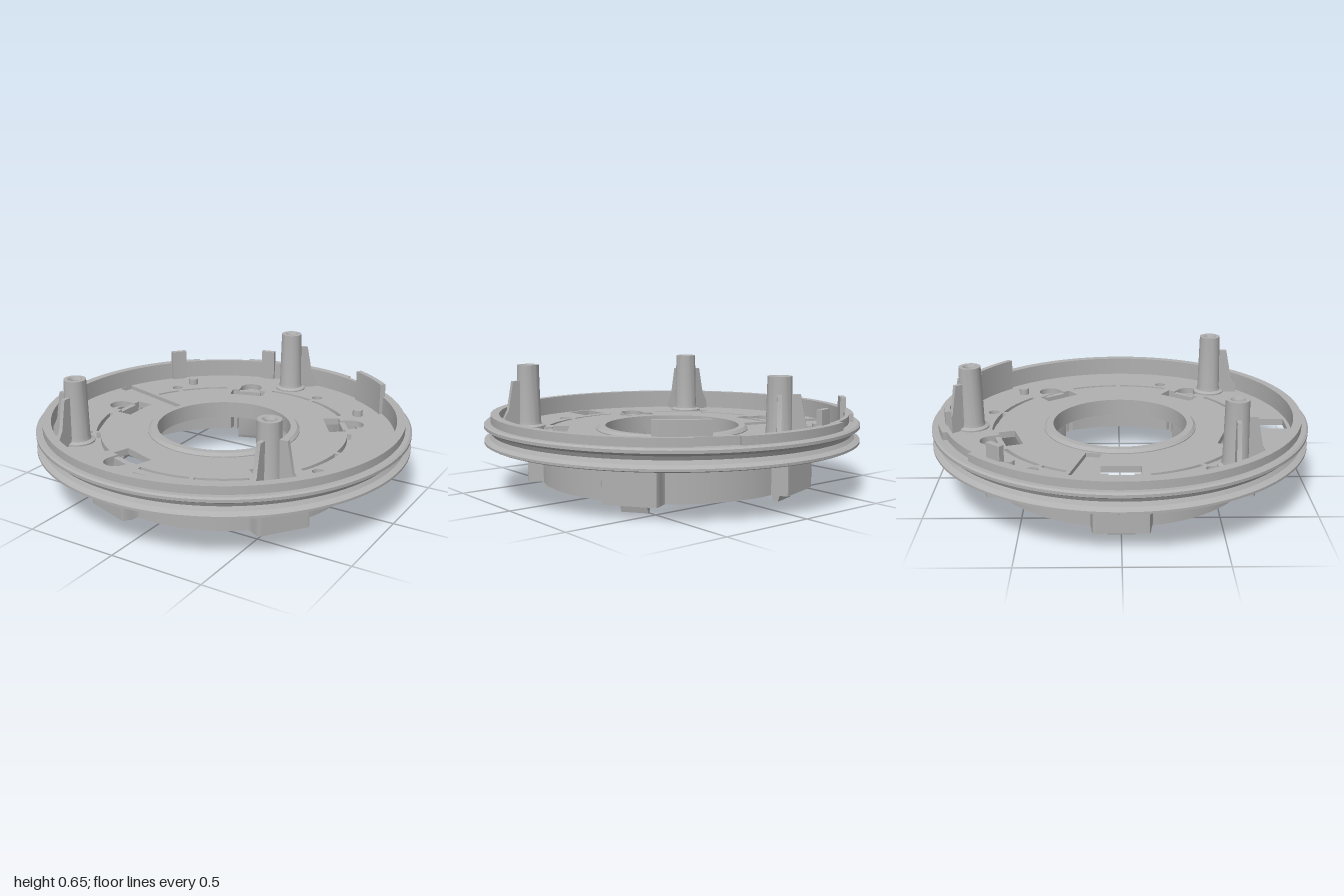
import * as THREE from 'three';
import { toCreasedNormals } from 'three/addons/utils/BufferGeometryUtils.js';

const FLOOR = 0.31, RAD = Math.PI / 180;
const CLIPS = [0, 1, 2, 3, 4].map(k => (180 + 72 * k) * RAD);
const SCREWS = [143.3, 70.8, 20, 286.5, 215.6].map(d => d * RAD);
const grey = new THREE.MeshStandardMaterial({ color: 0xb0b0b0 });
grey.name = 'grey plastic';

export function createModel() {
  const root = new THREE.Group();
  root.name = 'groovedRingHousing';

  const add = (geo, name, parent = root) => {
    const mesh = new THREE.Mesh(toCreasedNormals(geo, 0.5), grey);
    mesh.name = name;
    parent.add(mesh);
    return mesh;
  };
  // horizontal slab: shape y becomes z, top face at "top"
  const slab = (shape, top, bottom, name, parent) => {
    const geo = new THREE.ExtrudeGeometry(shape, { depth: top - bottom, bevelEnabled: false, curveSegments: 48 });
    geo.rotateX(Math.PI / 2).translate(0, top, 0);
    return add(geo, name, parent);
  };
  // solid of revolution from a closed counterclockwise profile
  const turned = (pts, name, parent, segments = 128) =>
    add(new THREE.LatheGeometry([...pts, pts[0]].map(p => new THREE.Vector2(...p)), segments), name, parent);
  // upright profile with x along the radius, centred across its thickness
  const upright = (pts, width, name, parent) => {
    const geo = new THREE.ExtrudeGeometry(poly(pts), { depth: width, bevelEnabled: false });
    return add(geo.translate(0, 0, -width / 2), name, parent);
  };
  const poly = pts => new THREE.Shape(pts.map(p => new THREE.Vector2(...p)));
  const circle = (x, y, r) => new THREE.Shape().absarc(x, y, r, 0, Math.PI * 2, false);
  const arcBand = (r0, r1, a0, a1) => {
    const s = new THREE.Shape();
    s.absarc(0, 0, r1, a0, a1, false);
    s.absarc(0, 0, r0, a1, a0, true);
    s.closePath();
    return s;
  };
  const polar = (r, a) => [r * Math.cos(a), r * Math.sin(a)];
  const turnPts = (pts, a) => pts.map(([x, y]) =>
    [x * Math.cos(a) - y * Math.sin(a), x * Math.sin(a) + y * Math.cos(a)]);

  // outer rim with belt groove
  turned([[0.92, 0.275], [0.955, 0.262], [0.99, 0.26], [1, 0.265], [1, 0.277], [0.972, 0.29], [0.961, 0.31],
    [0.972, 0.33], [1, 0.345], [1, 0.36], [0.99, 0.368], [0.92, 0.368]], 'groovedRim');

  // upper lip, thinner in two stretches at the back
  [[-57, 229, 0.965], [229, 248, 0.942], [248, 290, 0.965], [290, 303, 0.942]].forEach(([a, b, r]) => {
    slab(arcBand(0.92, r, a * RAD, b * RAD), 0.41, 0.36, 'upperLip');
  });
  // raised tabs on the lip
  [[217.5, 223], [253.5, 258.5], [297.5, 314.5]].forEach(([a, b]) => {
    slab(arcBand(0.9, 0.93, a * RAD, b * RAD), 0.485, 0.29, 'rimTab');
  });

  // floor plate with all its openings
  const floor = circle(0, 0, 0.935);
  floor.holes.push(circle(0, 0, 0.37));
  CLIPS.forEach((a, i) => {
    const end = [];
    for (let k = 0; k <= 12; k++) {
      const t = (-90 + k * 15) * RAD;
      end.push([0.705 + 0.062 * Math.cos(t), 0.062 * Math.sin(t)]);
    }
    const opening = [[0.56, -0.1], [0.65, -0.1], [0.65, -0.062], ...end, [0.65, 0.062], [0.65, 0.1], [0.56, 0.1]];
    floor.holes.push(poly(turnPts(opening, a)));
    [[i === 0 ? 23 : 12, 34.5], [36.5, 60]].forEach(([b, c]) =>
      floor.holes.push(arcBand(0.665, 0.688, a + b * RAD, a + c * RAD)));
  });
  SCREWS.forEach(a => floor.holes.push(circle(...polar(0.738, a), 0.03)));
  floor.holes.push(poly([[-0.06, 0.73], [0.085, 0.73], [0.085, 0.9], [-0.06, 0.9]]));
  const channel = [[-0.865, -0.31], [-0.39, -0.175], [-0.405, -0.095], [-0.885, -0.23]];
  floor.holes.push(poly(channel));
  slab(floor, FLOOR, 0.275, 'floorPlate');
  slab(poly(channel), 0.288, 0.272, 'channelFloor');

  // collar round the central opening
  turned([[0.36, 0.24], [0.385, 0.24], [0.4, 0.265], [0.41, 0.29], [0.41, 0.315], [0.395, 0.33], [0.36, 0.33]], 'centreCollar');

  // lower wall bulging outwards at each clip
  const wallPoints = (base, face, halfAngle) => {
    const pts = [];
    for (let i = 0; i < 720; i++) {
      const t = i * 0.5 * RAD;
      const d = Math.min(...CLIPS.map(a => Math.abs(Math.atan2(Math.sin(t - a), Math.cos(t - a)))));
      const mix = 1 - THREE.MathUtils.smoothstep(d, halfAngle - 0.025, halfAngle + 0.025);
      pts.push(polar(base + (face / Math.cos(Math.min(d, 0.25)) - base) * mix, t));
    }
    return pts;
  };
  const wall = poly(wallPoints(0.7, 0.768, 0.195));
  wall.holes.push(poly(wallPoints(0.662, 0.74, 0.155)));
  slab(wall, 0.278, 0.05, 'lowerWall');

  // snap clips in their pockets, each with a sunken screw seat
  CLIPS.forEach(a => {
    const clip = new THREE.Group();
    clip.name = 'snapClip';
    clip.rotation.y = -a;
    root.add(clip);
    upright([[0.645, 0.3], [0.645, 0.02], [0.655, 0], [0.68, 0], [0.692, 0.045], [0.675, 0.06], [0.675, 0.3]],
      0.135, 'clipArm', clip);
    const seat = poly([[0.65, -0.08], [0.755, -0.08], [0.755, 0.08], [0.65, 0.08]]);
    seat.holes.push(circle(0.713, 0, 0.03));
    slab(seat, 0.235, 0.21, 'screwSeat', clip);
    [-1, 1].forEach(s => {
      const cheek = upright([[0.65, 0.05], [0.75, 0.05], [0.75, 0.285], [0.65, 0.285]], 0.02, 'pocketCheek', clip);
      cheek.position.z = s * 0.085;
    });
  });

  // screw bosses under the floor
  SCREWS.forEach(a => {
    const boss = new THREE.Group();
    boss.name = 'screwBoss';
    boss.rotation.y = -a;
    root.add(boss);
    const outline = new THREE.Shape();
    outline.moveTo(0.685, -0.058);
    outline.lineTo(0.725, -0.058);
    outline.absarc(0.725, 0, 0.058, -Math.PI / 2, Math.PI / 2, false);
    outline.lineTo(0.685, 0.058);
    outline.closePath();
    outline.holes.push(circle(0.738, 0, 0.028));
    slab(outline, 0.28, 0.217, 'bossBody', boss);
  });

  // small locating pegs
  [[-0.56, -0.545], [0.535, -0.565]].forEach(([x, z]) => {
    add(new THREE.CylinderGeometry(0.028, 0.028, 0.05, 24), 'locatingPeg').position.set(x, FLOOR + 0.01, z);
  });

  // tall hollow posts with two stiffening ribs each
  [[-0.555, 0.555, 180, 90], [0.575, 0.535, 0, 90], [-0.015, -0.795, 228, 315]].forEach(([x, z, ...ribs]) => {
    const post = new THREE.Group();
    post.name = 'mountingPost';
    post.position.set(x, 0, z);
    root.add(post);
    turned([[0.0001, 0.29], [0.088, 0.29], [0.088, 0.318], [0.068, 0.326], [0.064, 0.345], [0.058, 0.65],
      [0.036, 0.65], [0.028, 0.635], [0.028, 0.4], [0.0001, 0.4]], 'postTube', post, 40);
    ribs.forEach(d => {
      const rib = upright([[0.045, 0.3], [0.165, 0.3], [0.16, 0.36], [0.13, 0.41], [0.1, 0.565], [0.045, 0.565]],
        0.022, 'postRib', post);
      rib.rotation.y = -d * RAD;
    });
  });

  return root;
}
